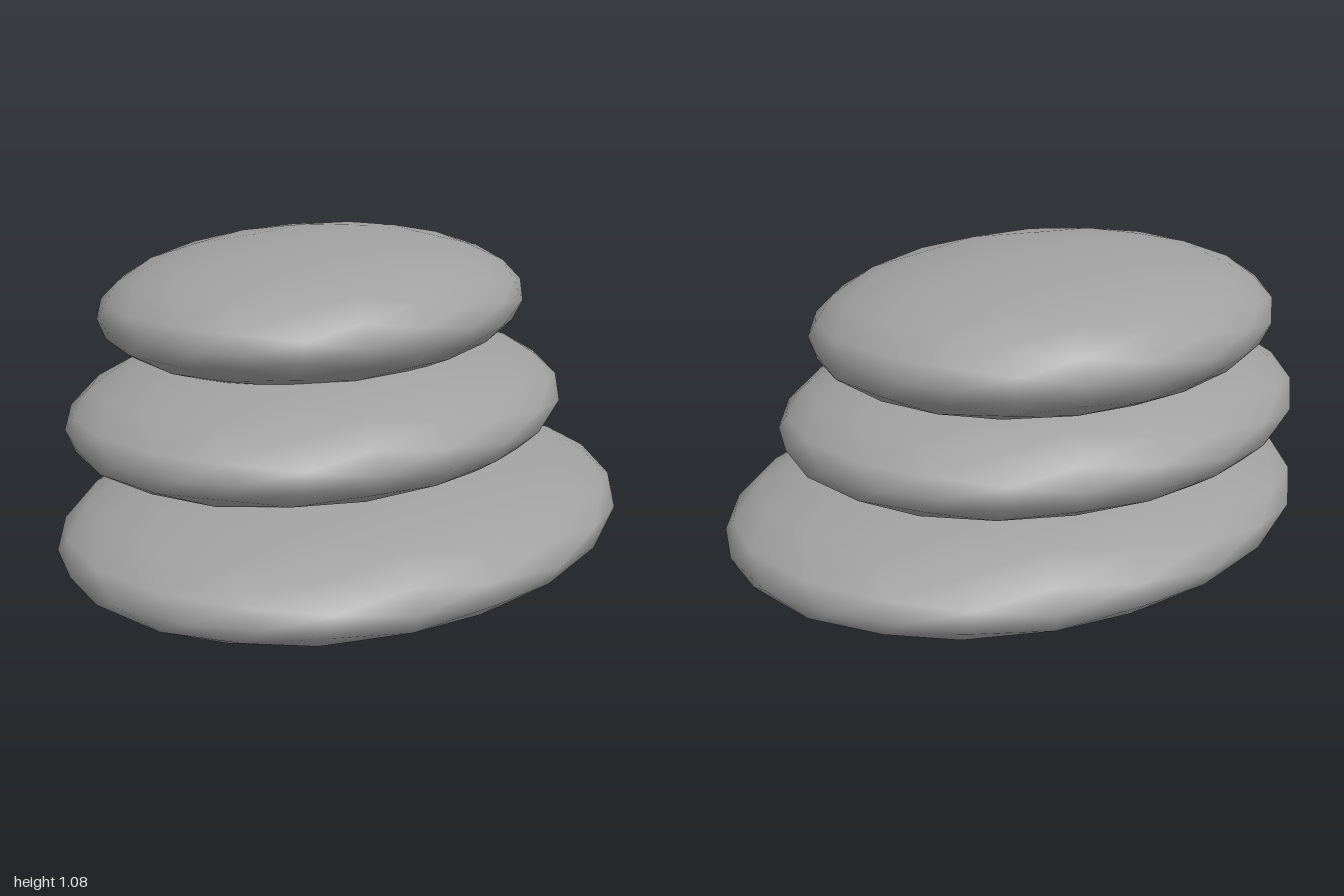
import * as THREE from 'three';

// Three flattened pebbles stacked into a cairn, each stepped towards the back.
export function createModel() {
  const group = new THREE.Group();
  group.name = 'stoneStack';

  const stoneGrey = new THREE.MeshStandardMaterial({ color: 0xa0a0a0 });
  stoneGrey.name = 'stoneGrey';

  // Faceted outline with smooth shading
  const pebble = new THREE.IcosahedronGeometry(1, 3);

  const stones = [
    { name: 'bottomStone', centre: [0, 0.215, 0], radii: [1, 0.215, 0.8] },
    { name: 'middleStone', centre: [-0.01, 0.557, -0.1], radii: [0.877, 0.215, 0.707] },
    { name: 'topStone', centre: [0.06, 0.86, -0.18], radii: [0.757, 0.215, 0.618] },
  ];

  for (const { name, centre, radii } of stones) {
    const stone = new THREE.Mesh(pebble, stoneGrey);
    stone.name = name;
    stone.position.set(...centre);
    stone.scale.set(...radii);
    group.add(stone);
  }
  return group;
}
